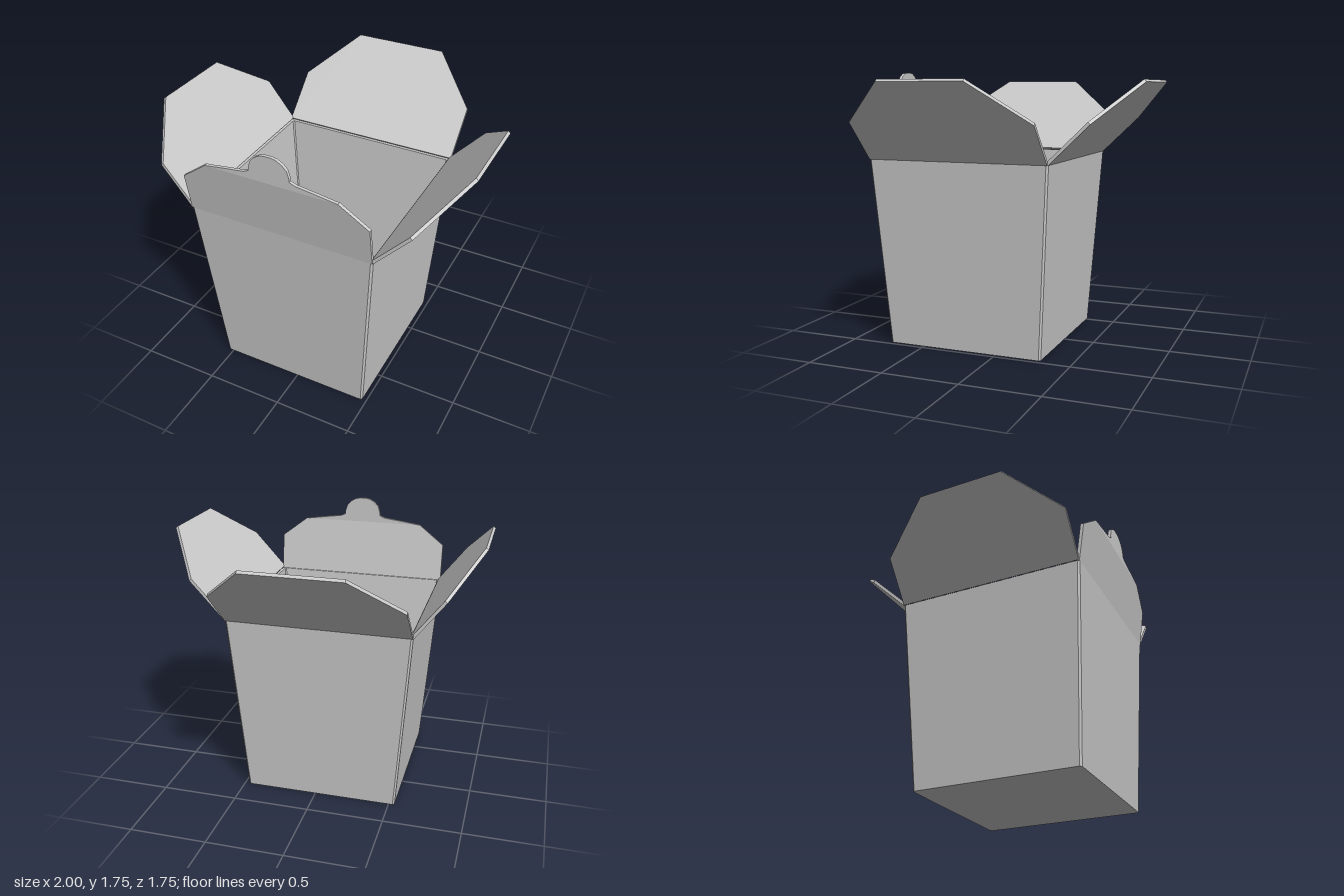
import * as THREE from 'three';

const mat = new THREE.MeshStandardMaterial({ color: 0xcccccc, side: THREE.DoubleSide });
const T = 0.02; // card thickness
const HINGE = 1.21;

// Square ring with slightly cut corners
function ring(hx, hz, y, c) {
  return [[hx, -hz + c], [hx, hz - c], [hx - c, hz], [-hx + c, hz],
    [-hx, hz - c], [-hx, -hz + c], [-hx + c, -hz], [hx - c, -hz]].map(([x, z]) => [x, y, z]);
}

// Joins successive rings with flat-shaded quads
function loft(rings) {
  const pos = [];
  for (let k = 0; k < rings.length - 1; k++) {
    for (let i = 0; i < 8; i++) {
      const j = (i + 1) % 8;
      const a = rings[k][i], b = rings[k][j], c = rings[k + 1][j], d = rings[k + 1][i];
      pos.push(...a, ...d, ...b, ...b, ...d, ...c);
    }
  }
  const g = new THREE.BufferGeometry();
  g.setAttribute('position', new THREE.Float32BufferAttribute(pos, 3));
  g.computeVertexNormals();
  return g;
}

// Card sheet mirrored from its right-hand outline, thickness going inward (-z)
function sheet(name, half) {
  const mirrored = half.map(([x, y]) => [-x, y]).reverse();
  const shape = new THREE.Shape([...half, ...mirrored].map(([x, y]) => new THREE.Vector2(x, y)));
  const g = new THREE.ExtrudeGeometry(shape, { depth: T, bevelEnabled: false });
  g.translate(0, 0, -T);
  const mesh = new THREE.Mesh(g, mat);
  mesh.name = name;
  return mesh;
}

// Flap hinged on the rim, leaning outward; angle picks the side
function flap(name, angle, half, run, rise) {
  const pivot = new THREE.Group();
  pivot.name = name;
  pivot.rotation.y = angle;
  const panel = sheet(name + 'Panel', half);
  panel.position.set(0, HINGE, 0.595);
  panel.rotation.x = Math.atan2(run, rise);
  pivot.add(panel);
  return pivot;
}

export function createModel() {
  const model = new THREE.Group();
  model.name = 'takeawayBox';
  const box = new THREE.Group();
  box.name = 'box';
  box.position.set(-0.033, 0, 0.22);
  model.add(box);

  // Tapered open container with inner walls and floor
  const body = new THREE.Mesh(loft([
    ring(0, 0, 0, 0),
    ring(0.505, 0.52, 0, 0.012),
    ring(0.592, 0.595, HINGE, 0.012),
    ring(0.572, 0.575, HINGE, 0.008),
    ring(0.478, 0.48, T, 0.005),
    ring(0, 0, T, 0),
  ]), mat);
  body.name = 'container';
  box.add(body);

  // Octagonal flaps: right, back, left
  const flaps = [
    ['leftFlap', Math.PI / 2, 0.27, 0.438],
    ['backFlap', Math.PI, 0.302, 0.5],
    ['rightFlap', -Math.PI / 2, 0.27, 0.372],
  ];
  for (const [name, angle, tip, run] of flaps) {
    const len = Math.hypot(run, 0.48);
    box.add(flap(name, angle, [[0.592, 0], [0.592, len / 2], [tip, len]], run, 0.48));
  }

  // Front flap, nearly upright, with a fold near its top
  const FOLD = 1.585, rise = FOLD - HINGE, run = 0.057;
  const len = Math.hypot(run, rise);
  box.add(flap('frontFlap', 0, [[0.59, 0], [0.59, len * 0.65], [0.415, len]], run, rise));

  // Vertical lip with the rounded locking tab
  const lip = sheet('lockingTab', [
    [0.415, 0], [0.28, 0.02], [0.16, 0.036], [0.128, 0.05], [0.125, 0.075],
    [0.113, 0.115], [0.085, 0.145], [0.05, 0.165], [0.02, 0.17],
  ]);
  lip.position.set(0, FOLD, 0.595 + run);
  box.add(lip);

  return model;
}
